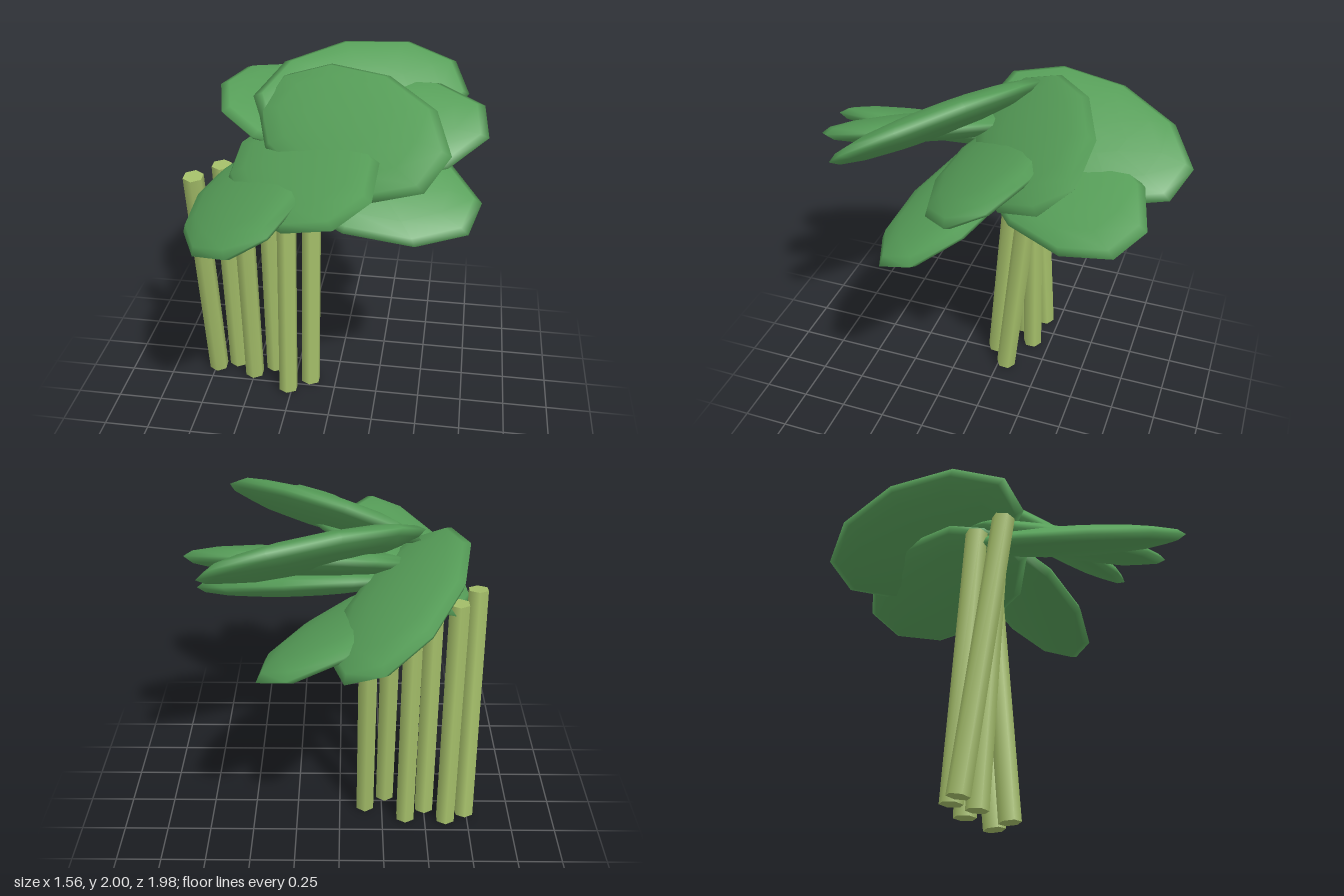
import * as THREE from 'three';

export function createModel() {
  const model = new THREE.Group();
  model.name = 'plant';
  const leafGreen = new THREE.MeshStandardMaterial({ color: 0x579f59 });
  leafGreen.name = 'leafGreen';
  const stemGreen = new THREE.MeshStandardMaterial({ color: 0xa4be69 });
  stemGreen.name = 'stemGreen';

  // Six hexagonal stems in a row, each leaning a little: [x, z at foot, z at top]
  const stems = [
    [-0.735, -0.105, 0.09],
    [-0.62, -0.16, -0.065],
    [-0.5, -0.065, 0.02],
    [-0.385, -0.145, -0.11],
    [-0.27, 0.05, -0.055],
    [-0.15, -0.045, -0.175],
  ];
  const up = new THREE.Vector3(0, 1, 0);
  for (const [x, z0, z1] of stems) {
    const dir = new THREE.Vector3(0, 1.4, z1 - z0);
    const stem = new THREE.Mesh(new THREE.CylinderGeometry(0.057, 0.057, dir.length(), 6), stemGreen);
    stem.name = 'stem';
    stem.position.set(x, 0.704, (z0 + z1) / 2);
    stem.quaternion.setFromUnitVectors(up, dir.normalize());
    model.add(stem);
  }

  // Flattened ten-sided leaves fanned around the crown:
  // centre, direction of the tip, direction of the raised side edge
  const leaves = [
    { name: 'backLeaf', at: [-0.295, 1.625, -0.425], tip: [0.32, -0.17, -0.93], edge: [-0.83, 0.47, -0.36] },
    { name: 'lowBackLeaf', at: [-0.05, 1.44, -0.355], tip: [0.62, -0.05, -0.78], edge: [-0.72, 0.42, -0.58] },
    { name: 'highBackLeaf', at: [0.12, 1.775, -0.245], tip: [0.88, 0.04, -0.47], edge: [-0.4, 0.6, -0.7] },
    { name: 'sideLeaf', at: [0.2, 1.655, -0.08], tip: [0.98, 0.09, -0.11], edge: [-0.1, 0.47, -0.87] },
    { name: 'lowSideLeaf', at: [0.19, 1.44, 0.1], tip: [0.96, -0.17, 0.22], edge: [0.25, 0.4, -0.88] },
    { name: 'highFrontLeaf', at: [0.1, 1.785, 0.235], tip: [0.78, -0.06, 0.61], edge: [0.52, 0.6, -0.61] },
    { name: 'frontLeaf', at: [-0.115, 1.615, 0.36], tip: [0.55, 0.06, 0.83], edge: [0.76, 0.44, -0.48] },
    { name: 'lowFrontLeaf', at: [-0.385, 1.46, 0.41], tip: [0.24, 0.11, 0.96], edge: [0.87, 0.45, -0.2] },
  ];
  const leafShape = new THREE.SphereGeometry(1, 10, 8);
  leafShape.scale(0.34, 0.075, 0.6);
  for (const { name, at, tip, edge } of leaves) {
    const along = new THREE.Vector3(...tip).normalize();
    const normal = new THREE.Vector3().crossVectors(along, new THREE.Vector3(...edge)).normalize();
    const side = new THREE.Vector3().crossVectors(normal, along);
    const leaf = new THREE.Mesh(leafShape, leafGreen);
    leaf.name = name;
    leaf.position.set(...at);
    leaf.quaternion.setFromRotationMatrix(new THREE.Matrix4().makeBasis(side, normal, along));
    model.add(leaf);
  }
  return model;
}
